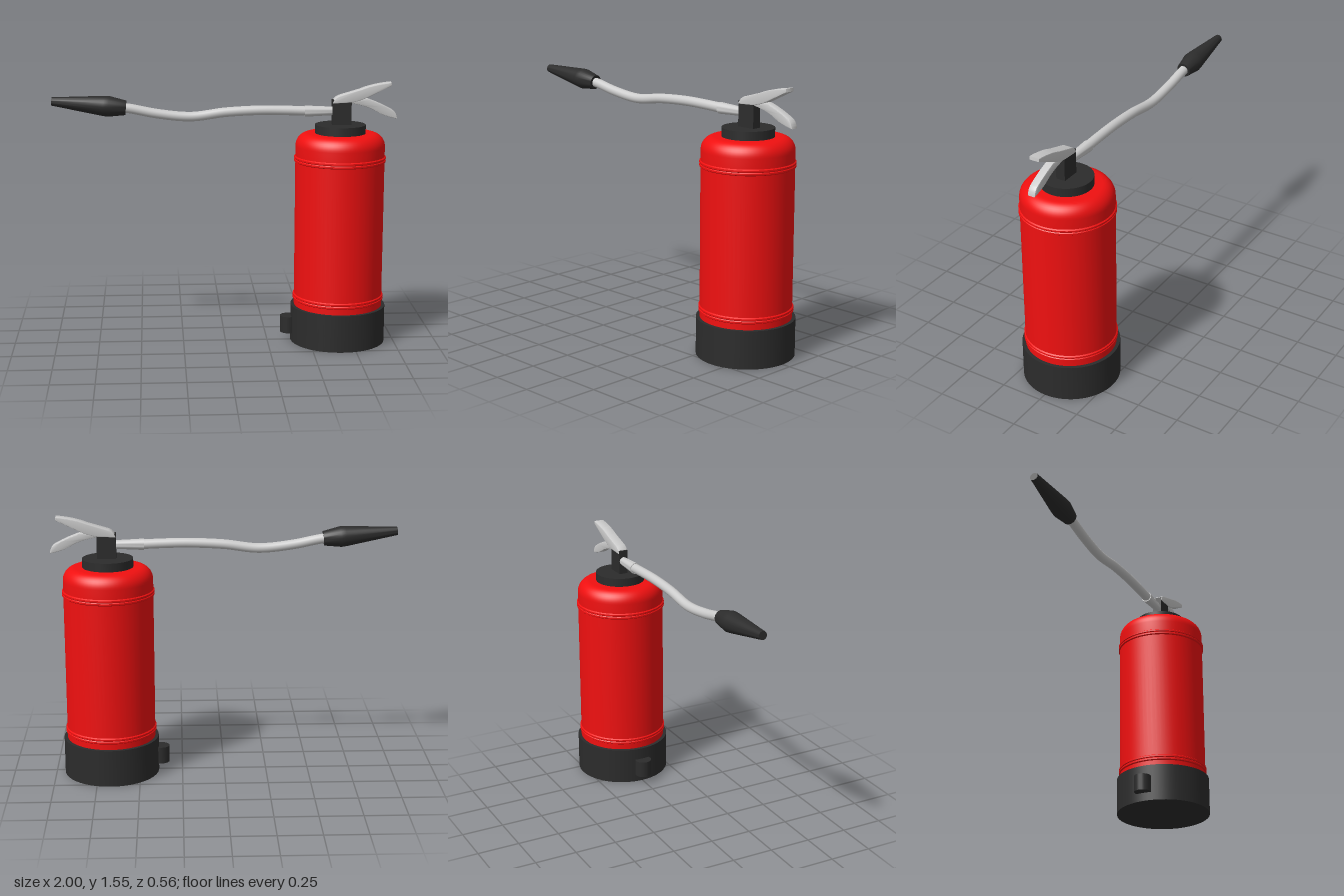
import * as THREE from 'three';
import { toCreasedNormals } from 'three/addons/utils/BufferGeometryUtils.js';

const AXIS = 0.67; // x of the bottle's centre line

const red = new THREE.MeshStandardMaterial({ color: 0xf01010 });
const dark = new THREE.MeshStandardMaterial({ color: 0x2c2c2c });
const grey = new THREE.MeshStandardMaterial({ color: 0xcccccc });

export function createModel() {
  const model = new THREE.Group();

  const add = (name, geometry, material, x = 0, y = 0, z = 0) => {
    const mesh = new THREE.Mesh(geometry, material);
    mesh.name = name;
    mesh.position.set(x, y, z);
    model.add(mesh);
    return mesh;
  };

  const lathe = (points, segments = 64) =>
    toCreasedNormals(new THREE.LatheGeometry(points.map(([r, y]) => new THREE.Vector2(r, y)), segments), 0.6);

  // Side outline in x/y, given counterclockwise, extruded evenly about z = 0
  const plate = (shape, width) => {
    const bevel = 0.005;
    const geometry = new THREE.ExtrudeGeometry(shape, {
      depth: width - 2 * bevel, bevelThickness: bevel, bevelSize: bevel,
      bevelOffset: -bevel, bevelSegments: 2, curveSegments: 12,
    });
    geometry.translate(0, 0, bevel - width / 2);
    return toCreasedNormals(geometry, 0.6);
  };

  // Bottle with two raised ribs and a rounded shoulder
  const rib = (y) => [[0.26, y - 0.018], [0.267, y - 0.013], [0.267, y - 0.004], [0.263, y],
    [0.267, y + 0.004], [0.267, y + 0.013], [0.26, y + 0.018]];
  const shoulder = [];
  for (let i = 0; i <= 10; i++) {
    const a = (i / 10) * Math.PI / 2;
    shoulder.push([0.19 + 0.07 * Math.cos(a), 1.175 + 0.075 * Math.sin(a)]);
  }
  add('bottle', lathe([[0, 0.18], [0.26, 0.18], ...rib(0.272), ...rib(1.1), ...shoulder, [0, 1.25]]), red, AXIS);

  // Foot, with the nozzle holder on its side
  add('base', new THREE.CylinderGeometry(0.28, 0.28, 0.22, 64), dark, AXIS, 0.11);
  add('nozzleHolder', new THREE.CylinderGeometry(0.05, 0.05, 0.1, 20), dark, 0.377, 0.1);

  // Valve
  add('collar', new THREE.CylinderGeometry(0.147, 0.147, 0.06, 48), dark, AXIS, 1.27);
  add('valveBlock', new THREE.BoxGeometry(0.11, 0.15, 0.055), dark, 0.675, 1.37);

  // Squeeze lever
  const lever = new THREE.Shape();
  lever.moveTo(0.62, 1.425);
  lever.lineTo(0.73, 1.43);
  lever.quadraticCurveTo(0.79, 1.442, 0.83, 1.463);
  lever.lineTo(0.962, 1.527);
  lever.lineTo(0.96, 1.546);
  lever.quadraticCurveTo(0.85, 1.535, 0.78, 1.505);
  lever.lineTo(0.66, 1.47);
  lever.quadraticCurveTo(0.625, 1.455, 0.62, 1.425);
  add('squeezeLever', plate(lever, 0.062), grey);

  // Carrying handle
  const handle = new THREE.Shape();
  handle.moveTo(0.71, 1.44);
  handle.lineTo(0.73, 1.425);
  handle.quadraticCurveTo(0.82, 1.41, 0.87, 1.38);
  handle.quadraticCurveTo(0.92, 1.348, 0.998, 1.333);
  handle.quadraticCurveTo(0.995, 1.372, 0.965, 1.388);
  handle.quadraticCurveTo(0.9, 1.425, 0.82, 1.452);
  handle.lineTo(0.73, 1.455);
  add('carryingHandle', plate(handle, 0.046), grey);

  // Hose
  const path = new THREE.CatmullRomCurve3([
    [-0.62, 1.412], [-0.54, 1.4], [-0.4, 1.372], [-0.2, 1.352], [0, 1.376],
    [0.2, 1.386], [0.35, 1.384], [0.48, 1.379],
  ].map(([x, y]) => new THREE.Vector3(x, y, 0)));
  add('hose', new THREE.TubeGeometry(path, 64, 0.028, 20), grey);

  // Tapered hose fitting and nozzle, turned from +y to lie along the hose
  const fitting = add('hoseFitting', lathe([[0, -0.1], [0.024, -0.1], [0.033, 0.08], [0, 0.08]], 24), grey, 0.54, 1.379);
  fitting.rotation.z = Math.PI / 2;
  const nozzle = add('nozzle',
    lathe([[0, 0], [0.042, 0], [0.06, 0.1], [0.058, 0.13], [0.024, 0.428], [0, 0.428]], 28), dark, -0.573, 1.406);
  nozzle.rotation.z = Math.PI / 2 - 0.095;

  return model;
}
